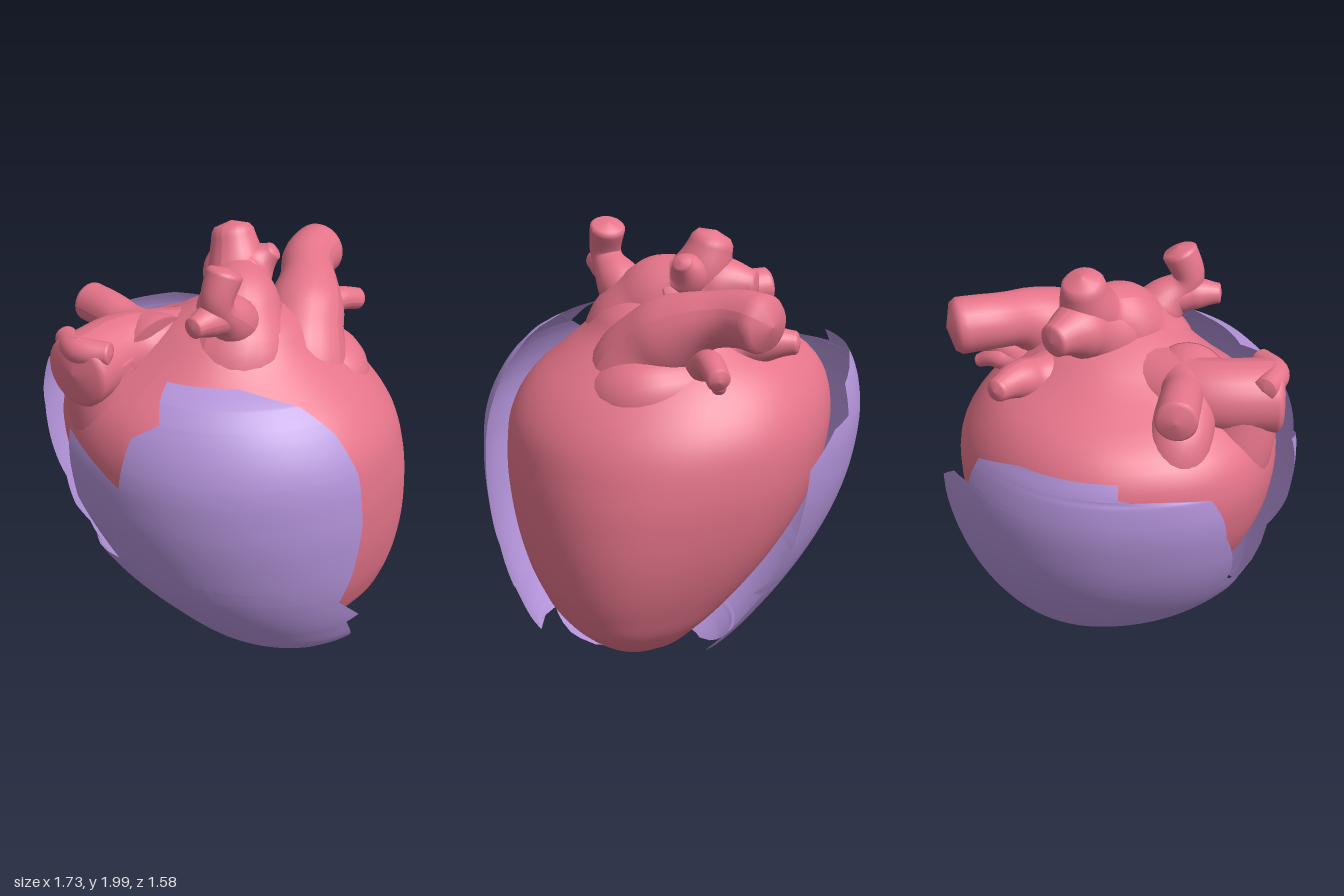
import * as THREE from 'three';

const red = new THREE.MeshStandardMaterial({ color: 0xe5748a });
const purple = new THREE.MeshStandardMaterial({ color: 0xb292d8, side: THREE.DoubleSide });

// Oval cross-sections of the heart: y, xMin, xMax, zMin, zMax
const sections = [
  [0.09, 0.28, 0.28, -0.2, -0.2], [0.14, 0.12, 0.43, -0.34, 0], [0.25, -0.08, 0.6, -0.46, 0.23],
  [0.4, -0.28, 0.69, -0.55, 0.4], [0.6, -0.48, 0.75, -0.64, 0.56], [0.8, -0.62, 0.78, -0.7, 0.65],
  [1.0, -0.7, 0.785, -0.73, 0.7], [1.2, -0.73, 0.75, -0.71, 0.7], [1.35, -0.69, 0.65, -0.63, 0.63],
  [1.45, -0.58, 0.53, -0.54, 0.52], [1.55, -0.36, 0.4, -0.4, 0.4], [1.65, -0.2, 0.32, -0.28, 0.27],
  [1.72, -0.03, 0.2, -0.08, 0.13],
];
const spline = new THREE.CubicInterpolant(
  sections.map((s) => s[0]), sections.flatMap((s) => s.slice(1)), 4, new Float32Array(4));

// Centre and radii of the oval at a height, with extra offsets for the shells
function oval(y, offX = 0, offZ = 0) {
  const [x0, x1, z0, z1] = spline.evaluate(THREE.MathUtils.clamp(y, 0.09, 1.72));
  return { cx: (x0 + x1) / 2, cz: (z0 + z1) / 2, rx: (x1 - x0) / 2 + offX, rz: (z1 - z0) / 2 + offZ };
}

// Point on an oval: a rounded ridge low on the back left, fuller front right, flatter (flat) between them
function ovalPoint(o, t, y, flat) {
  const s = Math.sin(2 * t);
  const ridge = Math.sin(t) > 0 ? 0.13 * (1 - THREE.MathUtils.smoothstep(y, 0.3, 1.4)) : 0.05;
  const f = 1 + (s < 0 ? ridge : -flat) * s * s;
  return [o.cx + f * o.rx * Math.sin(t), y, o.cz + f * o.rz * Math.cos(t)];
}

// Surface over a grid of rows and columns, point(i, j) gives [x, y, z]
function sheet(name, rows, cols, point, material) {
  const pos = [], index = [];
  for (let i = 0; i <= rows; i++)
    for (let j = 0; j <= cols; j++) {
      pos.push(...point(i, j));
      if (i === rows || j === cols) continue;
      const a = i * (cols + 1) + j, c = a + cols + 1;
      index.push(a, a + 1, c, a + 1, c + 1, c);
    }
  const g = new THREE.BufferGeometry();
  g.setAttribute('position', new THREE.Float32BufferAttribute(pos, 3));
  g.setIndex(index);
  g.computeVertexNormals();
  const m = new THREE.Mesh(g, material);
  m.name = name;
  return m;
}

function heartBody() {
  const rows = 56, cols = 64;
  return sheet('heartBody', rows, cols, (i, j) => {
    const y = 0.09 + 1.63 * Math.pow(i / rows, 1.4);
    return ovalPoint(oval(y), ((j % cols) / cols) * Math.PI * 2, y, 0.025);
  }, red);
}

// Vessel: tube with changing radius and closed ends
function vessel(name, points, radii) {
  const n = 40, sides = 24;
  const path = new THREE.CatmullRomCurve3(points.map((p) => new THREE.Vector3(...p)));
  const g = new THREE.TubeGeometry(path, n, 1, sides);
  const p = g.attributes.position, v = new THREE.Vector3();
  for (let i = 0; i <= n; i++) {
    const c = path.getPointAt(i / n), f = (i / n) * (radii.length - 1);
    const k = Math.min(Math.floor(f), radii.length - 2);
    let r = THREE.MathUtils.lerp(radii[k], radii[k + 1], THREE.MathUtils.smoothstep(f - k, 0, 1));
    if (i === 0 || i === n) r = 0;
    else if (i === n - 1) r *= 0.85;
    for (let j = 0; j <= sides; j++) {
      const id = i * (sides + 1) + j;
      v.fromBufferAttribute(p, id).sub(c).multiplyScalar(r).add(c);
      p.setXYZ(id, v.x, v.y, v.z);
    }
  }
  g.computeVertexNormals();
  const m = new THREE.Mesh(g, red);
  m.name = name;
  return m;
}

// Straight-line lookup in a list of [y, value]
function lookup(list, y) {
  for (let k = 1; k < list.length; k++)
    if (y <= list[k][0]) {
      const [a, b] = [list[k - 1], list[k]];
      return THREE.MathUtils.lerp(a[1], b[1], THREE.MathUtils.clamp((y - a[0]) / (b[0] - a[0]), 0, 1));
    }
  return list[list.length - 1][1];
}

// Ways to turn an edge position into an angle (0 = front, +90 degrees = +x)
const unit = (v) => Math.asin(THREE.MathUtils.clamp(v, -1, 1));
const frontX = (x, o) => unit((x - o.cx) / o.rx);
const backX = (x, o) => -Math.PI - unit((x - o.cx) / o.rx);
const leftZ = (z, o) => Math.PI / 2 - unit((z - o.cz) / o.rz);

// Height of the heart section that each shell height follows
const shellHeights = [[0, 0.12], [0.05, 0.125], [0.5, 0.54], [1, 1], [1.2, 1.18], [1.34, 1.3], [1.5, 1.43], [1.54, 1.5]];

// Broken shell piece lying over the heart between two jagged edges
function shell(name, offX, offZ, edgeA, angleA, edgeB, angleB) {
  const ys = [];
  const low = edgeA[0][0], high = edgeA[edgeA.length - 1][0];
  for (let i = 0; i <= 60; i++) ys.push(low + ((high - low) * i) / 60);
  for (const e of [...edgeA, ...edgeB]) if (e[0] > low && e[0] < high) ys.push(e[0]);
  ys.sort((a, b) => a - b);
  const cols = 40;
  return sheet(name, ys.length - 1, cols, (i, j) => {
    const y = ys[i], o = oval(lookup(shellHeights, y), offX, offZ);
    const t = THREE.MathUtils.lerp(angleA(lookup(edgeA, y), o), angleB(lookup(edgeB, y), o), j / cols);
    return ovalPoint(o, t, y, 0);
  }, purple);
}

export function createModel() {
  const g = new THREE.Group();
  g.name = 'heartWithShell';
  g.add(heartBody());

  // Great vessels and their branches
  g.add(
    vessel('aorta', [[0.05, 1.25, 0.1], [0.12, 1.53, 0.08], [0.06, 1.68, 0], [-0.05, 1.79, -0.12], [-0.12, 1.99, -0.16]],
      [0.32, 0.27, 0.19, 0.13, 0.09]),
    vessel('aortaSideBranch', [[0.02, 1.66, -0.05], [-0.14, 1.75, -0.18], [-0.26, 1.75, -0.29]], [0.18, 0.13, 0.07]),
    vessel('aortaKnob', [[0, 1.72, -0.05], [0.02, 1.82, -0.17], [0.09, 1.89, -0.22]], [0.14, 0.1, 0.04]),
    vessel('frontArtery', [[0.12, 1.58, 0.05], [0.18, 1.73, 0.2], [0.19, 1.83, 0.3], [0.2, 1.98, 0.25]],
      [0.18, 0.11, 0.07, 0.08]),
    vessel('frontArteryStub', [[0.18, 1.74, 0.2], [0.18, 1.765, 0.35], [0.18, 1.765, 0.45]], [0.08, 0.07, 0.045]),
    vessel('pulmonaryArch', [[0.28, 1.05, -0.12], [0.25, 1.47, -0.2], [0.13, 1.66, -0.4], [0.01, 1.71, -0.56], [-0.05, 1.71, -0.75]],
      [0.28, 0.24, 0.18, 0.12, 0.125]),
    vessel('leftAtrium', [[0, 1.38, -0.4], [0.34, 1.34, -0.3], [0.44, 1.22, 0]], [0.14, 0.18, 0.12]),
    vessel('backVein', [[0.08, 1.42, -0.35], [0.15, 1.54, -0.58], [0.19, 1.51, -0.74]], [0.13, 0.06, 0.05]),
    vessel('backVein', [[0.05, 1.43, -0.38], [0.1, 1.48, -0.55], [0.14, 1.44, -0.65]], [0.1, 0.05, 0.03]),
    vessel('sideVein', [[-0.05, 1.45, -0.25], [-0.2, 1.54, -0.43], [-0.33, 1.55, -0.53]], [0.18, 0.09, 0.05]),
    vessel('rightAtrium', [[-0.05, 1.45, 0.05], [-0.27, 1.51, 0.35], [-0.27, 1.51, 0.71]], [0.2, 0.16, 0.16]),
    vessel('rightAtriumEdge', [[-0.41, 1.61, 0.6], [-0.27, 1.61, 0.66], [-0.13, 1.61, 0.6]], [0.05, 0.06, 0.05]),
    vessel('rightAtriumDrape', [[-0.27, 1.57, 0.53], [-0.28, 1.33, 0.5], [-0.28, 0.9, 0.38]], [0.15, 0.18, 0.19]),
    vessel('rightVein', [[-0.15, 1.5, 0.3], [-0.42, 1.58, 0.26], [-0.65, 1.59, 0.23]], [0.18, 0.09, 0.09]),
    vessel('rightVeinFold', [[-0.3, 1.52, 0.3], [-0.48, 1.4, 0.25], [-0.5, 1.1, 0.2]], [0.13, 0.14, 0.1]),
  );

  // Large shell piece over the front left, with the pointed spike beside its notch
  const offX = 0.1, offZ = 0.09;
  g.add(
    shell('frontShell', offX, offZ,
      [[0, 0.25], [0.08, 0.2], [0.17, 0.17], [0.18, -0.07], [0.35, 0.02], [0.5, -0.22], [0.59, -0.33], [0.67, -0.05],
        [1.12, 0.07], [1.35, 0.1], [1.42, 0.2], [1.54, 0.12]], frontX,
      [[0, 0.02], [0.05, -0.03], [0.1, 0.05], [0.17, 0.2], [0.2, -0.03], [0.38, 0.1], [0.4, 0.04], [0.55, 0.2],
        [0.7, 0.17], [0.95, 0.15], [1.2, 0.16], [1.37, 0.2], [1.48, 0.27], [1.54, 0.4]], leftZ),
    shell('frontShellSpike', offX, offZ, [[0.67, -0.05], [0.95, -0.22], [1.28, -0.25]], frontX,
      [[0.67, -0.05], [1.12, 0.07], [1.28, -0.25]], frontX),
  );

  // Raised splinters around the crack: low y, high y, then x range at each
  for (const [y0, y1, a0, b0, a1, b1] of [
    [0.58, 0.78, 0.31, 0.34, 0.35, 0.42], [0.56, 0.76, 0.45, 0.46, 0.4, 0.44],
    [0.8, 0.95, 0.36, 0.43, 0.3, 0.31], [0.78, 0.97, 0.38, 0.44, 0.45, 0.54]])
    g.add(shell('crackSplinter', offX + 0.01, offZ + 0.01,
      [[y0, a0], [y1, a1]], frontX, [[y0, b0], [y1, b1]], frontX));

  // Shell piece over the back right
  g.add(shell('backShell', 0.13, 0.09,
    [[0.07, -0.01], [0.12, -0.03], [0.17, -0.05], [0.18, 0.13], [0.3, 0], [0.45, -0.1], [0.5, -0.02], [0.53, -0.12],
      [0.7, -0.2], [1.07, -0.23], [1.2, -0.4], [1.22, -0.52], [1.35, -0.53], [1.41, -0.68]], backX,
    [[0.07, 0.03], [0.2, -0.1], [0.27, 0], [0.4, -0.12], [0.5, -0.25], [0.6, -0.42], [0.7, -0.46], [0.78, -0.57],
      [0.85, -0.6], [1.1, -0.71], [1.31, -0.75], [1.34, -0.84], [1.41, -0.9]], frontX));
  return g;
}
